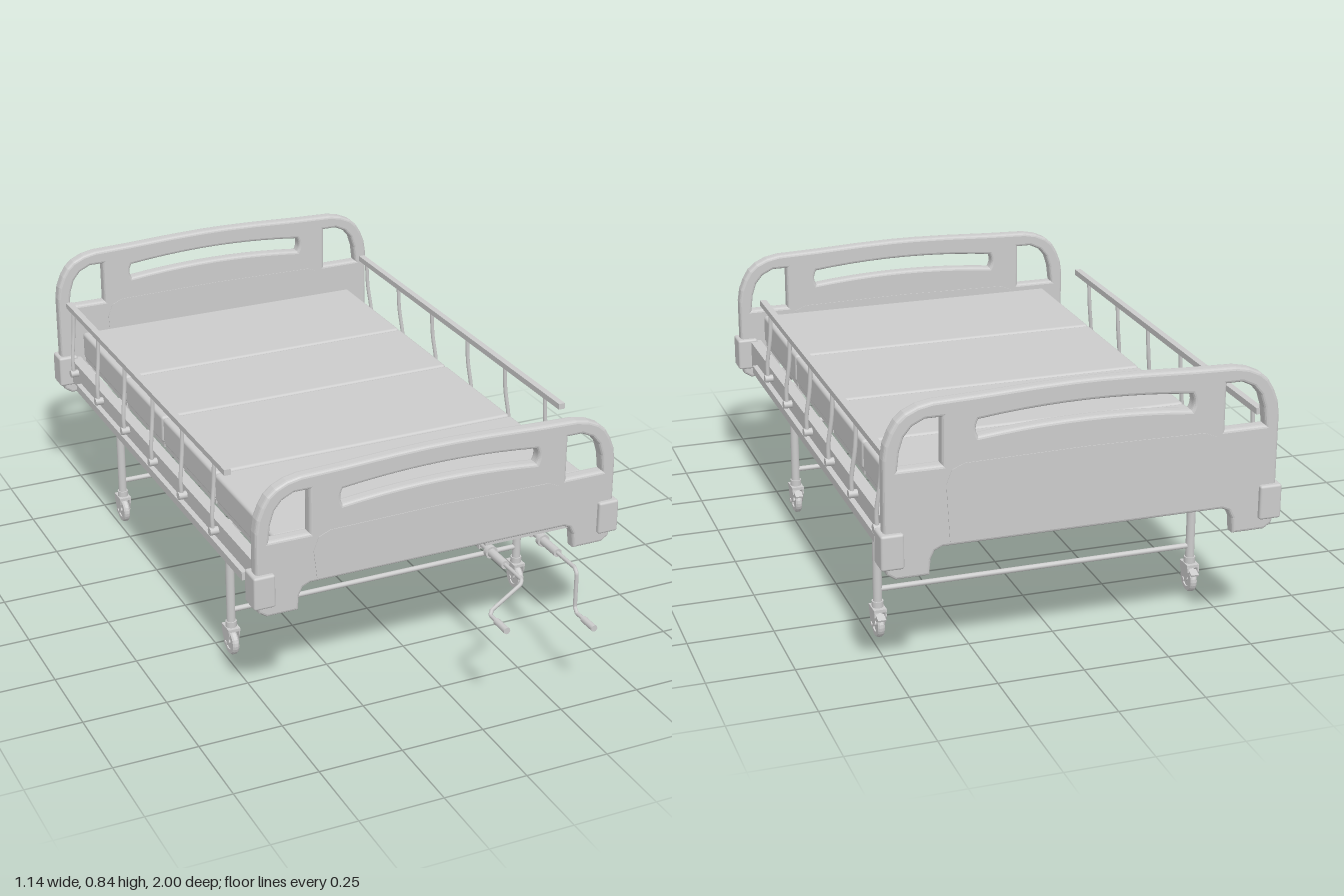
import * as THREE from 'three';
import { RoundedBoxGeometry } from 'three/addons/geometries/RoundedBoxGeometry.js';

const smooth = new THREE.MeshStandardMaterial({ color: 0xcccccc });
const flat = new THREE.MeshStandardMaterial({ color: 0xcccccc, flatShading: true });
const V = (x, y, z) => new THREE.Vector3(x, y, z);

function add(parent, name, geometry, x = 0, y = 0, z = 0, material = flat) {
  const mesh = new THREE.Mesh(geometry, material);
  mesh.name = name;
  mesh.position.set(x, y, z);
  parent.add(mesh);
  return mesh;
}

// box given by its limits on each axis
function box(parent, name, [x0, x1], [y0, y1], [z0, z1]) {
  return add(parent, name, new THREE.BoxGeometry(x1 - x0, y1 - y0, z1 - z0),
    (x0 + x1) / 2, (y0 + y1) / 2, (z0 + z1) / 2);
}

// round bar between two points
function rod(parent, name, a, b, r, sides = 12) {
  const d = b.clone().sub(a);
  const mesh = add(parent, name, new THREE.CylinderGeometry(r, r, d.length(), sides), 0, 0, 0, smooth);
  mesh.position.copy(a).add(b).multiplyScalar(0.5);
  mesh.quaternion.setFromUnitVectors(V(0, 1, 0), d.normalize());
  return mesh;
}

const toPath = (PathType, pts) => new PathType(pts.map(([x, y]) => new THREE.Vector2(x, y)));

// end board with two hand holes and an arched slot; lift raises its upper part
function endBoard(name, z, lift) {
  const board = new THREE.Group();
  board.name = name;
  const up = ([x, y]) => [x, y > 0.5 ? y + lift : y];
  const flip = (pts) => pts.map(([x, y]) => [-x, y]).reverse();
  const half = [[0.4, 0.417], [0.42, 0.408], [0.431, 0.385], [0.435, 0.34], [0.53, 0.34], [0.552, 0.355],
    [0.56, 0.385], [0.56, 0.6], [0.554, 0.64], [0.54, 0.675], [0.523, 0.703], [0.5, 0.723], [0.465, 0.739],
    [0.425, 0.747], [0.3, 0.751], [0.15, 0.758], [0.04, 0.761]].map(up);
  const shape = toPath(THREE.Shape, [...half, ...flip(half)]);

  const hole = [[0.4, 0.57], [0.52, 0.57], [0.514, 0.62], [0.502, 0.658], [0.48, 0.685], [0.445, 0.702], [0.4, 0.702]].map(up);
  shape.holes.push(toPath(THREE.Path, hole), toPath(THREE.Path, flip(hole)));

  const slot = new THREE.Path();
  slot.moveTo(-0.3, 0.638 + lift);
  slot.quadraticCurveTo(0, 0.672 + lift, 0.3, 0.638 + lift);
  slot.quadraticCurveTo(0.313, 0.66 + lift, 0.3, 0.684 + lift);
  slot.quadraticCurveTo(0, 0.72 + lift, -0.3, 0.684 + lift);
  slot.quadraticCurveTo(-0.313, 0.66 + lift, -0.3, 0.638 + lift);
  shape.holes.push(slot);

  const body = new THREE.ExtrudeGeometry(shape, {
    depth: 0.02, bevelEnabled: true, bevelThickness: 0.011, bevelSize: 0.009, bevelOffset: -0.009,
    bevelSegments: 3, curveSegments: 10,
  });
  add(board, 'boardPanel', body.translate(0, 0, -0.01), 0, 0, z);

  // shallow raised panel on both faces
  const top = 0.575 + lift;
  const panel = toPath(THREE.Shape, [[-0.38, 0.43], [0.38, 0.43], [0.39, top - 0.06], [0.375, top - 0.02],
    [0.34, top - 0.005], [0, top], [-0.34, top - 0.005], [-0.375, top - 0.02], [-0.39, top - 0.06]]);
  add(board, 'raisedPanel', new THREE.ExtrudeGeometry(panel, { depth: 0.046, bevelEnabled: false }).translate(0, 0, -0.023), 0, 0, z);

  // corner bumpers
  for (const s of [-1, 1]) {
    add(board, 'cornerBumper', new RoundedBoxGeometry(0.064, 0.1, 0.07, 2, 0.007), s * 0.54, 0.425, z, smooth);
  }
  return board;
}

// swivelling wheel with fork and brake pedal, wheel axle along x
function caster() {
  const g = new THREE.Group();
  g.name = 'caster';
  const disc = (name, r, w, x = 0) => add(g, name, new THREE.CylinderGeometry(r, r, w, 24).rotateZ(Math.PI / 2), x, 0.04, 0, smooth);
  const tyre = [[0.024, -0.01], [0.036, -0.01], [0.04, -0.005], [0.04, 0.005], [0.036, 0.01], [0.024, 0.01], [0.024, -0.01]]
    .map(([r, y]) => new THREE.Vector2(r, y));
  add(g, 'tyre', new THREE.LatheGeometry(tyre, 24).rotateZ(Math.PI / 2), 0, 0.04, 0);
  disc('wheelHub', 0.025, 0.012);
  disc('axle', 0.007, 0.042);
  for (const s of [-1, 1]) {
    const cheek = toPath(THREE.Shape, [[-0.01, 0.035], [0.01, 0.035], [0.03, 0.07], [0.028, 0.088], [-0.026, 0.088], [-0.024, 0.07]]);
    add(g, 'forkCheek', new THREE.ExtrudeGeometry(cheek, { depth: 0.004, bevelEnabled: false })
      .translate(0, 0, -0.002).rotateY(Math.PI / 2), s * 0.016, 0, 0);
  }
  box(g, 'forkCrown', [-0.019, 0.019], [0.083, 0.092], [-0.028, 0.026]);
  box(g, 'brakePedal', [-0.012, 0.012], [0.066, 0.072], [-0.045, -0.02]).rotation.x = -0.35;
  rod(g, 'swivelStem', V(0, 0.088, 0), V(0, 0.11, 0), 0.017);
  return g;
}

// crank along z, its arm pointing by (dx, dy)
function crank(x, dx, dy) {
  const g = new THREE.Group();
  g.name = 'crank';
  g.position.set(x, 0.375, 0);
  rod(g, 'driveTube', V(0, 0, -0.56), V(0, 0, 0.5), 0.012);
  rod(g, 'innerShaft', V(0, 0, 0.5), V(0, 0, 0.7), 0.009);
  rod(g, 'crankSocket', V(0, 0, 0.69), V(0, 0, 0.785), 0.013);
  rod(g, 'socketCollar', V(0, 0, 0.69), V(0, 0, 0.705), 0.019, 16);
  const path = new THREE.CurvePath();
  const pts = [V(0, 0, 0.78), V(0, 0, 0.88), V(dx * 0.1, dy * 0.1, 0.892), V(dx * 0.9, dy * 0.9, 0.892), V(dx, dy, 0.904), V(dx, dy, 0.95)];
  for (let i = 1; i < pts.length; i++) path.add(new THREE.LineCurve3(pts[i - 1], pts[i]));
  add(g, 'crankArm', new THREE.TubeGeometry(path, 50, 0.006, 8), 0, 0, 0, smooth);
  rod(g, 'crankGrip', V(dx, dy, 0.94), V(dx, dy, 1), 0.01);
  box(g, 'tubeHanger', [-0.012, 0.012], [-0.012, 0.04], [0.635, 0.65]);
  box(g, 'rearClevis', [-0.016, 0.016], [-0.012, 0.06], [-0.59, -0.55]);
  return g;
}

export function createModel() {
  const bed = new THREE.Group();
  bed.name = 'adjustableBed';
  bed.add(endBoard('footboard', 0.702, 0), endBoard('headboard', -0.965, 0.078));

  // four-part mattress on hinged deck plates
  for (const [z0, z1] of [[-0.935, -0.525], [-0.52, -0.187], [-0.182, 0.235], [0.241, 0.667]]) {
    const z = (z0 + z1) / 2;
    add(bed, 'mattressSection', new RoundedBoxGeometry(0.972, 0.088, z1 - z0, 2, 0.01), 0, 0.511, z, smooth);
    box(bed, 'deckPlate', [-0.48, 0.48], [0.452, 0.468], [z0 + 0.003, z1 - 0.003]);
    for (const e of [z0 + 0.03, z1 - 0.03]) box(bed, 'deckRib', [-0.46, 0.46], [0.435, 0.453], [e - 0.01, e + 0.01]);
  }

  // frame cross members
  for (const z of [-0.92, -0.62, 0.32, 0.65]) box(bed, 'crossMember', [-0.5, 0.5], [0.4, 0.435], [z - 0.013, z + 0.013]);
  box(bed, 'crankMount', [0.15, 0.43], [0.405, 0.415], [0.63, 0.71]);
  bed.add(crank(0.175, -0.11, -0.075), crank(0.345, 0, -0.135));

  for (const s of [-1, 1]) {
    const side = new THREE.Group();
    side.name = s > 0 ? 'leftSide' : 'rightSide';
    const sx = (a, b) => (s > 0 ? [a, b] : [-b, -a]);
    // side rail with its lower flange and outer strip
    box(side, 'sideRail', sx(0.495, 0.53), [0.385, 0.467], [-0.95, 0.69]);
    box(side, 'railFlange', sx(0.46, 0.52), [0.366, 0.385], [-0.84, 0.66]);
    box(side, 'guardStrip', sx(0.53, 0.546), [0.39, 0.415], [-0.84, 0.585]);

    // guard rail on bent posts
    box(side, 'guardTopRail', sx(0.522, 0.542), [0.656, 0.674], [-0.92, 0.46]);
    for (let i = 0; i < 6; i++) {
      const z = 0.365 - i * 0.2475;
      const curve = new THREE.CatmullRomCurve3([V(s * 0.545, 0.44, z + 0.005), V(s * 0.546, 0.49, z + 0.004),
        V(s * 0.536, 0.58, z - 0.004), V(s * 0.532, 0.66, z - 0.005)]);
      add(side, 'guardPost', new THREE.TubeGeometry(curve, 12, 0.0065, 8), 0, 0, 0, smooth);
      rod(side, 'postPivot', V(s * 0.525, 0.443, z + 0.005), V(s * 0.556, 0.443, z + 0.005), 0.012);
    }

    // legs on casters
    for (const z of [0.322, -0.62]) {
      rod(side, 'leg', V(s * 0.477, 0.1, z), V(s * 0.477, 0.4, z), 0.013, 16);
      const wheel = caster();
      wheel.position.set(s * 0.477, 0, z);
      side.add(wheel);
    }
    bed.add(side);
  }

  // braces between the legs
  for (const z of [0.322, -0.62]) {
    for (const y of [0.145, 0.303]) rod(bed, 'legBrace', V(-0.47, y, z), V(0.47, y, z), 0.008);
  }
  return bed;
}
